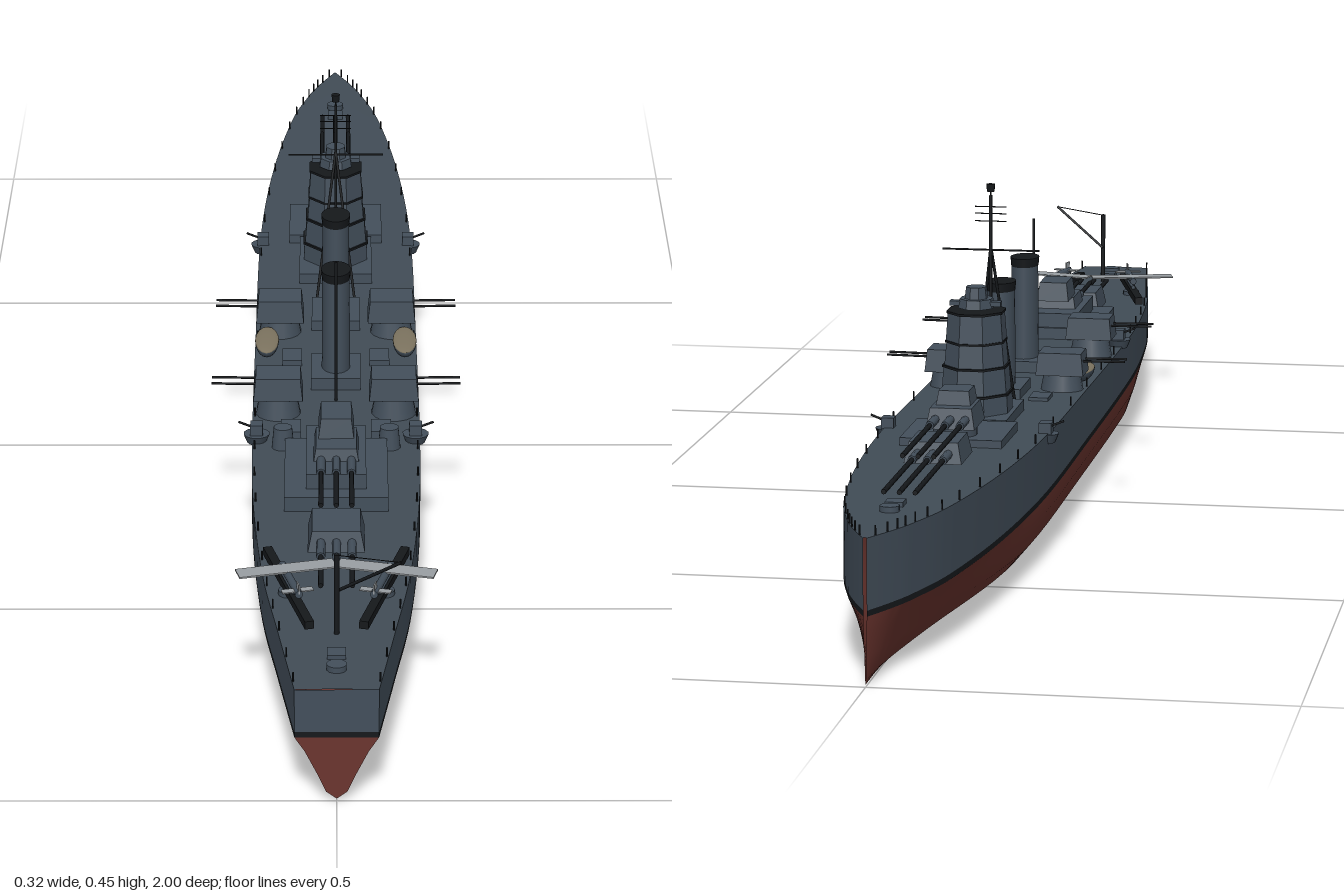
import * as THREE from 'three';
import { toCreasedNormals } from 'three/addons/utils/BufferGeometryUtils.js';

const mat = (color) => new THREE.MeshStandardMaterial({ color, side: THREE.DoubleSide });
const GREY = mat(0x434f5b), DECK = mat(0x414c56), RED = mat(0x6b342e), BLACK = mat(0x15181b);
const TAN = mat(0x7d7460), PALE = mat(0x9a9fa3);

const deckY = (z) => 0.145 + 0.03 * Math.pow((1 - z) / 2, 1.3);

// Skin through rows of points of equal length
function loft(rows, crease = 0.6) {
  const n = rows[0].length, idx = [];
  for (let i = 0; i < rows.length - 1; i++) {
    for (let j = 0; j < n - 1; j++) {
      const a = i * n + j, d = a + n;
      idx.push(a, a + 1, d, a + 1, d + 1, d);
    }
  }
  const g = new THREE.BufferGeometry();
  g.setAttribute('position', new THREE.Float32BufferAttribute(rows.flat(2), 3));
  g.setIndex(idx);
  return toCreasedNormals(g, crease);
}

function add(parent, name, geo, material, x = 0, y = 0, z = 0) {
  const m = new THREE.Mesh(geo, material);
  m.name = name;
  m.position.set(x, y, z);
  parent.add(m);
  return m;
}

// Box standing on y
const box = (p, name, w, h, d, x, y, z, material = GREY) =>
  add(p, name, new THREE.BoxGeometry(w, h, d), material, x, y + h / 2, z);

// Upright (elliptical) drum standing on y
function drum(p, name, rTop, rBottom, h, x, y, z, material = GREY, sides = 20, sx = 1, sz = 1) {
  const g = new THREE.CylinderGeometry(rTop, rBottom, h, sides, 1, false, Math.PI / sides);
  return add(p, name, g.scale(sx, 1, sz), material, x, y + h / 2, z);
}

// Thin round bar between two points
function rod(p, name, a, b, r, material = BLACK, sides = 6) {
  const A = new THREE.Vector3(...a), B = new THREE.Vector3(...b);
  const m = add(p, name, new THREE.CylinderGeometry(r, r, A.distanceTo(B), sides), material);
  m.position.copy(A).add(B).multiplyScalar(0.5);
  m.quaternion.setFromUnitVectors(new THREE.Vector3(0, 1, 0), B.sub(A).normalize());
  return m;
}

// Tapered block: plan w x d, roof shrunk by k
function taperedHouse(p, name, w, h, d, x, y, z, k = 0.85) {
  const g = new THREE.CylinderGeometry(k * Math.SQRT1_2, Math.SQRT1_2, 1, 4, 1, false, Math.PI / 4).toNonIndexed();
  g.computeVertexNormals();
  const m = add(p, name, g.scale(w, h, d), GREY, x, y + h / 2, z);
  g.computeVertexNormals();
  return m;
}

function buildHull(g) {
  const widths = [[-1, 0.002], [-0.95, 0.024], [-0.9, 0.041], [-0.8, 0.065], [-0.6, 0.091], [-0.35, 0.106],
    [0, 0.108], [0.3, 0.108], [0.5, 0.104], [0.7, 0.09], [0.85, 0.07], [1, 0.049]];
  const stations = new THREE.SplineCurve(widths.map((p) => new THREE.Vector2(...p))).getPoints(55);
  const full = [[0, 0], [0.72, 0.011], [0.9, 0.033], [0.985, 0.062], [1, 0.083]];
  const fine = [[0, 0.003], [0.25, 0.012], [0.46, 0.035], [0.76, 0.065], [1, 0.083]];
  const bottom = ({ x: z, y: w }) => {
    const t = THREE.MathUtils.smoothstep(Math.abs(z), 0.4, 1);
    const half = full.map((f, i) => [w * THREE.MathUtils.lerp(f[0], fine[i][0], t),
      THREE.MathUtils.lerp(f[1], fine[i][1], t), z]);
    return [...half.slice(1).reverse().map(([x, y]) => [-x, y, z]), ...half];
  };
  add(g, 'lowerHull', loft(stations.map(bottom)), RED);
  for (const s of [-1, 1]) {
    const band = (lo, hi) => stations.map((p) => {
      const r = [[s * p.y, lo, p.x], [s * p.y, hi ?? deckY(p.x), p.x]];
      return s > 0 ? r : r.reverse();
    });
    add(g, 'waterlineBand', loft(band(0.083, 0.09)), BLACK);
    add(g, 'hullSide', loft(band(0.09)), GREY);
  }
  add(g, 'deck', loft(stations.map(({ x: z, y: w }) => [[w, deckY(z), z], [0, deckY(z) + 0.001, z], [-w, deckY(z), z]])), DECK);
  // Flat transom
  const end = bottom(stations[stations.length - 1]).map(([x, y]) => new THREE.Vector2(x, y));
  add(g, 'lowerTransom', new THREE.ShapeGeometry(new THREE.Shape(end)), RED, 0, 0, 1);
  add(g, 'transomBand', new THREE.PlaneGeometry(0.098, 0.007), BLACK, 0, 0.0865, 1);
  add(g, 'upperTransom', new THREE.PlaneGeometry(0.098, 0.055), GREY, 0, 0.1175, 1);
  // Stanchions along both deck edges
  for (let i = 2; i < stations.length; i += 2) {
    const { x: z, y: w } = stations[i], y = deckY(z);
    for (const s of [-1, 1]) rod(g, 'stanchion', [s * w * 0.97, y, z], [s * w * 0.97, y + 0.012, z], 0.0011, BLACK, 4);
  }
}

// Triple turret facing d along z; gunY is the barrel height
function mainTurret(g, z, y, gunY, muzzleZ, d, w) {
  const t = new THREE.Group();
  t.name = 'mainTurret';
  drum(t, 'barbette', 0.028, 0.028, gunY - y - 0.01, 0, y, z);
  taperedHouse(t, 'gunHouse', w, 0.026, 0.078, 0, gunY - 0.012, z);
  for (const x of [-0.019, 0, 0.019]) {
    rod(t, 'barrel', [x, gunY, z], [x, gunY, muzzleZ], 0.0032, BLACK, 8);
    rod(t, 'barrelSleeve', [x, gunY, z], [x, gunY, z + d * 0.075], 0.0055, GREY, 8);
  }
  g.add(t);
}

function buildEnds(g) {
  // Forward battery
  box(g, 'forwardDeckhouse', 0.13, 0.02, 0.12, 0, 0.155, -0.39);
  mainTurret(g, -0.535, 0.158, 0.182, -0.79, -1, 0.072);
  mainTurret(g, -0.415, 0.17, 0.2, -0.67, -1, 0.062);
  taperedHouse(g, 'forwardDirector', 0.045, 0.022, 0.05, 0, 0.21, -0.405);
  // After battery
  box(g, 'afterDeckhouse', 0.13, 0.024, 0.18, 0, 0.145, 0.44);
  box(g, 'afterUpperHouse', 0.075, 0.02, 0.15, 0, 0.169, 0.43);
  mainTurret(g, 0.615, 0.143, 0.165, 0.77, 1, 0.07);
  mainTurret(g, 0.43, 0.165, 0.191, 0.6, 1, 0.06);
  taperedHouse(g, 'afterDirector', 0.045, 0.026, 0.065, 0, 0.204, 0.4);
  // Capstans and hatches
  for (const z of [-0.85, 0.95]) {
    drum(g, 'capstan', 0.012, 0.012, 0.008, 0, deckY(z), z, GREY, 12);
    box(g, 'hatch', 0.022, 0.006, 0.022, 0, deckY(z), z - 0.035 * Math.sign(z));
  }
}

function buildMidships(g) {
  // Bridge tower in stepped tiers: bottom, height, lower and upper radius
  const tiers = [[0.155, 0.045, 0.051, 0.049], [0.2, 0.035, 0.048, 0.045], [0.235, 0.032, 0.044, 0.041],
    [0.267, 0.038, 0.042, 0.039], [0.309, 0.012, 0.025, 0.023], [0.321, 0.015, 0.016, 0.014]];
  for (const [y, h, lo, hi] of tiers) {
    const m = drum(g, 'bridgeTier', hi, lo, h, 0, y, -0.26, GREY, 8, 0.95, 1.08);
    m.material = GREY;
    m.geometry = toCreasedNormals(m.geometry, 0.3);
    if (y < 0.3) drum(g, 'bridgeLedge', hi + 0.002, hi + 0.002, 0.003, 0, y + h - 0.002, -0.26, BLACK, 8, 0.95, 1.08);
  }
  box(g, 'bridgeRangefinder', 0.066, 0.006, 0.012, 0, 0.312, -0.265);
  box(g, 'bridgeBase', 0.1, 0.02, 0.14, 0, 0.155, -0.255);
  // Funnels
  for (const z of [-0.068, 0.125]) {
    box(g, 'funnelBase', 0.065, 0.022, 0.085, 0, 0.15, z);
    drum(g, 'funnel', 0.018, 0.019, 0.145, 0, 0.155, z, GREY, 24, 1, 1.4);
    drum(g, 'funnelCap', 0.0195, 0.0185, 0.012, 0, 0.298, z, BLACK, 24, 1, 1.4);
  }
  // Tripod foremast with yards
  rod(g, 'foremast', [0, 0.155, -0.15], [0, 0.437, -0.15], 0.0022);
  for (const s of [-1, 1]) rod(g, 'foremastLeg', [s * 0.027, 0.155, -0.118], [0, 0.37, -0.15], 0.002);
  rod(g, 'mainYard', [-0.064, 0.365, -0.15], [0.064, 0.365, -0.15], 0.0013);
  for (const y of [0.403, 0.413, 0.422]) rod(g, 'aerial', [-0.021, y, -0.15], [0.021, y, -0.15], 0.0007, BLACK, 4);
  drum(g, 'mastheadLamp', 0.006, 0.005, 0.01, 0, 0.442, -0.15, BLACK, 8);
  rod(g, 'lampStem', [0, 0.43, -0.15], [0, 0.443, -0.15], 0.001);
  rod(g, 'mainmast', [0, 0.15, 0.2], [0, 0.35, 0.2], 0.002);
  for (const s of [-1, 1]) {
    // Twin beam mounts
    for (const z of [-0.025, 0.235]) {
      drum(g, 'beamBarbette', 0.024, 0.03, 0.032, s * 0.075, 0.15, z, GREY, 16);
      taperedHouse(g, 'beamGunHouse', 0.064, 0.03, 0.052, s * 0.075, 0.18, z, 0.9);
      for (const o of [-0.01, 0.01]) rod(g, 'beamBarrel', [s * 0.09, 0.198, z + o], [s * 0.161, 0.199, z + o], 0.0016);
    }
    // Light guns on edge sponsons
    for (const z of [-0.33, 0.32]) {
      drum(g, 'sponson', 0.017, 0.012, 0.012, s * 0.102, 0.15, z, GREY, 12);
      box(g, 'lightGunShield', 0.016, 0.014, 0.018, s * 0.102, 0.162, z);
      rod(g, 'lightGunBarrel', [s * 0.105, 0.17, z], [s * 0.125, 0.178, z], 0.0015);
    }
    // Side lockers and directors
    for (const z of [-0.1, 0.07, 0.17, 0.3]) box(g, 'deckLocker', 0.026, 0.014, 0.04, s * 0.058, 0.15, z);
    drum(g, 'sideDirector', 0.012, 0.015, 0.03, s * 0.068, 0.15, 0.34, GREY, 12);
    // Ship's boats
    const hull = new THREE.SphereGeometry(1, 16, 8, 0, Math.PI * 2, Math.PI / 2, Math.PI / 2);
    add(g, 'boat', hull.scale(0.016, 0.016, 0.045), GREY, s * 0.092, 0.173, 0.042);
    add(g, 'boatCover', new THREE.SphereGeometry(1, 16, 6, 0, Math.PI * 2, 0, Math.PI / 2).scale(0.016, 0.004, 0.045),
      TAN, s * 0.092, 0.173, 0.042);
  }
}

function buildAircraftGear(g) {
  for (const s of [-1, 1]) {
    // Catapult with a floatplane, angled in towards the stern
    const c = new THREE.Group();
    c.name = 'catapultAndFloatplane';
    c.position.set(s * 0.058, 0.145, 0.755);
    c.rotation.y = -s * 0.25;
    box(c, 'catapultRail', 0.011, 0.01, 0.21, 0, 0.006, 0, BLACK);
    drum(c, 'catapultPivot', 0.012, 0.012, 0.008, 0, 0, 0, GREY, 12);
    rod(c, 'fuselage', [0, 0.027, -0.03], [0, 0.027, 0.055], 0.005, GREY, 8);
    rod(c, 'float', [0, 0.018, -0.03], [0, 0.018, 0.03], 0.003, GREY, 8);
    box(c, 'wing', 0.12, 0.002, 0.024, 0, 0.03, -0.01, PALE);
    box(c, 'tailplane', 0.038, 0.0015, 0.01, 0, 0.028, 0.046, PALE);
    box(c, 'tailFin', 0.0015, 0.012, 0.012, 0, 0.028, 0.05, PALE);
    g.add(c);
  }
  // Stern crane
  rod(g, 'cranePost', [0, 0.145, 0.86], [0, 0.25, 0.86], 0.0032, BLACK, 8);
  rod(g, 'craneBoom', [0, 0.2, 0.855], [0.075, 0.255, 0.892], 0.002);
  rod(g, 'craneStay', [0, 0.249, 0.86], [0.075, 0.255, 0.892], 0.0007, BLACK, 4);
}

export function createModel() {
  const root = new THREE.Group();
  root.name = 'warship';
  for (const [name, build] of [['hull', buildHull], ['gunBatteries', buildEnds],
    ['midships', buildMidships], ['aircraftGear', buildAircraftGear]]) {
    const g = new THREE.Group();
    g.name = name;
    build(g);
    root.add(g);
  }
  return root;
}
